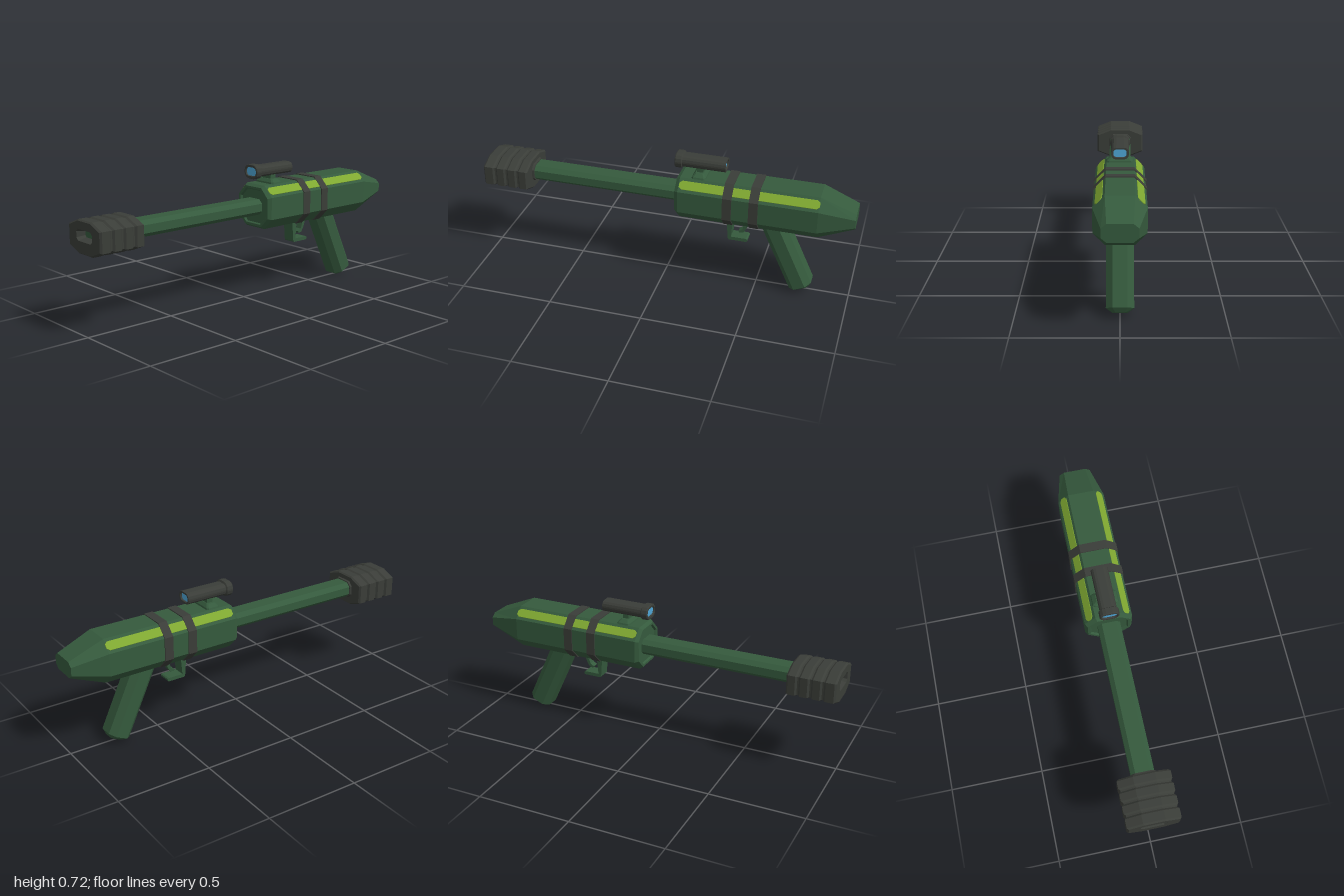
import * as THREE from 'three';

const mat = (name, color, extra = {}) => {
  const m = new THREE.MeshStandardMaterial({ color, flatShading: true, ...extra });
  m.name = name;
  return m;
};

// Closed outline with chamfered (k = 1) or rounded corners, counter-clockwise seen from +z
function ring(hx, hy, cx, cy, k) {
  const pts = [];
  for (let q = 0; q < 4; q++) {
    const sx = q === 0 || q === 3 ? 1 : -1, sy = q < 2 ? 1 : -1;
    for (let i = 0; i <= k; i++) {
      const a = (q + i / k) * Math.PI / 2;
      pts.push([sx * cx + Math.cos(a) * (hx - cx), sy * cy + Math.sin(a) * (hy - cy)]);
    }
  }
  return pts;
}

// Skin over sections [z, hx, hy, cx, cy, yOffset], flat faceted
function loft(sections, { k = 1, startCap = true, endCap = true } = {}) {
  const rings = sections.map(([z, hx, hy, cx, cy, y = 0]) =>
    ring(hx, hy, cx, cy, k).map(p => [p[0], p[1] + y, z]));
  const pos = [], n = rings[0].length;
  const tri = (a, b, c) => pos.push(...a, ...b, ...c);
  for (let s = 0; s < rings.length - 1; s++) {
    const a = rings[s], b = rings[s + 1];
    for (let i = 0; i < n; i++) {
      const j = (i + 1) % n;
      tri(a[i], a[j], b[j]);
      tri(a[i], b[j], b[i]);
    }
  }
  const last = rings[rings.length - 1];
  for (let i = 1; i < n - 1; i++) {
    if (startCap) tri(rings[0][0], rings[0][i + 1], rings[0][i]);
    if (endCap) tri(last[0], last[i], last[i + 1]);
  }
  const g = new THREE.BufferGeometry();
  g.setAttribute('position', new THREE.Float32BufferAttribute(pos, 3));
  g.computeVertexNormals();
  return g;
}

// Side profile of [z, y] points, extruded across x
function sidePlate(points, halfWidth) {
  const shape = new THREE.Shape(points.map(p => new THREE.Vector2(p[0], p[1])));
  const g = new THREE.ExtrudeGeometry(shape, { depth: halfWidth * 2, bevelEnabled: false });
  return g.rotateY(-Math.PI / 2).translate(halfWidth, 0, 0);
}

export function createModel() {
  const model = new THREE.Group();
  model.name = 'launcher';
  const green = mat('army green', 0x355a3d);
  const dark = mat('dark grey', 0x3a3d38);
  const lime = mat('lime green', 0x7fa831);
  const blue = mat('lens blue', 0x4fa6d6);
  const add = (name, geometry, material, parent = model) => {
    const mesh = new THREE.Mesh(geometry, material);
    mesh.name = name;
    parent.add(mesh);
    return mesh;
  };

  // Body: long octagon, tapered tail, stepped front face
  const CY = 0.495;
  const body = (z, s = 1, o = 0) =>
    [z, 0.126 * s + o, 0.118 * s + o, 0.069 * s + o * 0.4, 0.06 * s + o * 0.4, CY];
  add('body', loft([
    [-1, 0.085, 0.043, 0.06, 0.022, CY],
    body(-0.815), body(-0.087), body(-0.068, 0.9), body(-0.068, 0.8), body(-0.078, 0.75),
  ]), green);

  // Straps around the body
  for (const [z0, z1] of [[-0.373, -0.325], [-0.511, -0.463]]) {
    add('strap', loft([body(z0, 1, 0.005), body(z1, 1, 0.005)]), dark);
  }

  // Painted stripes on the upper chamfers
  for (const side of [1, -1]) {
    const stripe = add('stripe', loft([
      [-0.818, 0.003, 0.012, 0.002, 0.011], [-0.803, 0.003, 0.024, 0.002, 0.023],
      [-0.105, 0.003, 0.024, 0.002, 0.023], [-0.09, 0.003, 0.012, 0.002, 0.011],
    ]), lime);
    stripe.position.set(side * 0.0975, CY + 0.089, 0);
    stripe.rotation.z = Math.PI / 2 - side * Math.PI / 4;
  }

  // Barrel with a small collar behind the muzzle
  const barrel = z => [z, 0.06, 0.042, 0.038, 0.021, CY];
  add('barrel', loft([barrel(-0.1), barrel(0.955)]), green);
  add('barrelCollar', loft([
    [0.735, 0.065, 0.047, 0.042, 0.024, CY], [0.76, 0.07, 0.052, 0.045, 0.026, CY],
  ]), dark);

  // Muzzle: four bevelled ribs, then a funnel opening in the front
  const rib = (z, s) => [z, 0.137 * s, 0.084 * s, 0.056 * s, 0.052 * s, 0.489];
  const muzzle = [];
  for (let i = 0; i < 4; i++) {
    const z = 0.747 + i * 0.0635, end = i === 3 ? 1 : z + 0.055;
    muzzle.push(rib(z, 0.93), rib(z + 0.009, 1), rib(end - 0.009, 1), rib(end, 0.93));
  }
  muzzle.push([1, 0.067, 0.029, 0.053, 0.015, CY + 0.003], [0.95, 0.058, 0.018, 0.048, 0.009, CY + 0.003]);
  add('muzzle', loft(muzzle, { endCap: false }), dark);

  // Grip: chamfered block raked backwards
  const grip = add('grip', loft([
    [0, 0.036, 0.04, 0.022, 0.022], [0.022, 0.067, 0.063, 0.035, 0.032],
    [0.45, 0.067, 0.063, 0.035, 0.032],
  ]), green);
  grip.rotation.x = -Math.PI / 2 + THREE.MathUtils.degToRad(25);
  grip.position.set(0, 0.017, -0.753);

  // Trigger and its open guard
  add('triggerGuard', sidePlate([
    [-0.33, 0.4], [-0.342, 0.262], [-0.348, 0.256], [-0.44, 0.256], [-0.447, 0.261],
    [-0.447, 0.27], [-0.44, 0.275], [-0.358, 0.275], [-0.368, 0.4],
  ], 0.034), green);
  add('trigger', sidePlate([
    [-0.425, 0.4], [-0.426, 0.35], [-0.415, 0.32], [-0.395, 0.307], [-0.4, 0.297],
    [-0.421, 0.302], [-0.437, 0.33], [-0.452, 0.375], [-0.452, 0.4],
  ], 0.018), green);

  // Scope: hollow ended tube with a wider hood and a lens at each end
  const scope = new THREE.Group();
  scope.name = 'scope';
  scope.position.y = 0.684;
  model.add(scope);
  const oval = (z, hx, hy) => [z, hx, hy, hx - hy + 0.004, 0.004];
  add('scopeTube', loft([
    oval(-0.308, 0.033, 0.019), oval(-0.318, 0.035, 0.021), oval(-0.318, 0.045, 0.03),
    oval(-0.09, 0.045, 0.03), oval(-0.085, 0.052, 0.039), oval(-0.055, 0.052, 0.039),
    oval(-0.05, 0.049, 0.036), oval(-0.05, 0.041, 0.024), oval(-0.06, 0.039, 0.022),
  ], { k: 3, startCap: false, endCap: false }), dark, scope);
  add('frontLens', loft([oval(-0.066, 0.04, 0.023), oval(-0.059, 0.04, 0.023)], { k: 3 }), blue, scope);
  add('rearLens', loft([oval(-0.309, 0.034, 0.02), oval(-0.302, 0.034, 0.02)], { k: 3 }), blue, scope);

  // Scope mount: sloped foot and a short post
  const foot = add('mountFoot', loft([
    [0, 0.072, 0.04, 0.06, 0.03], [0.015, 0.066, 0.036, 0.055, 0.028],
    [0.031, 0.046, 0.022, 0.038, 0.016],
  ]), green);
  foot.rotation.x = -Math.PI / 2;
  foot.position.set(0, 0.606, -0.183);
  const post = add('mountPost', new THREE.BoxGeometry(0.066, 0.045, 0.034), green);
  post.position.set(0, 0.643, -0.183);

  return model;
}
